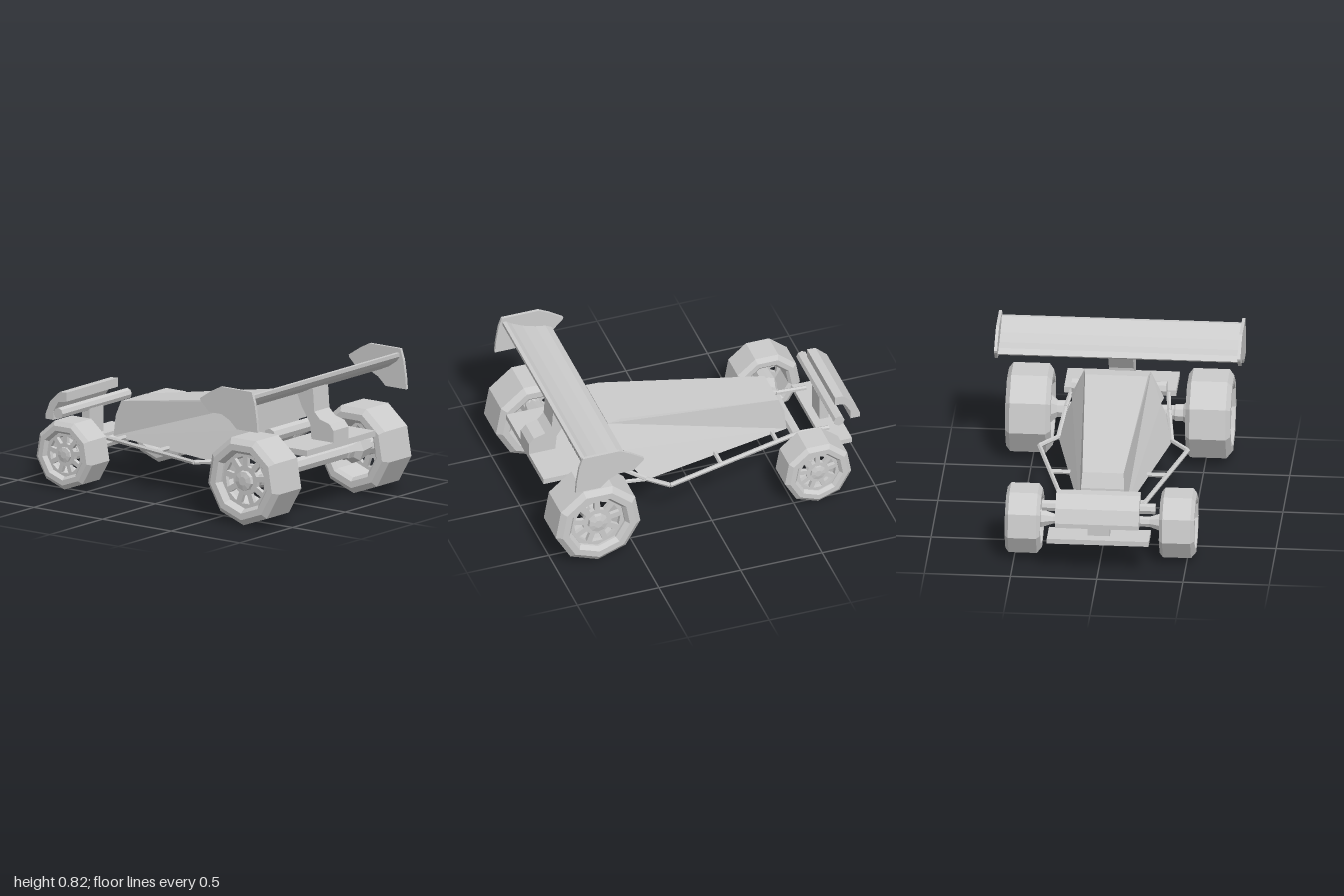
import * as THREE from 'three';

const grey = new THREE.MeshStandardMaterial({ color: 0xcccccc, flatShading: true });

export function createModel() {
  const model = new THREE.Group();
  model.name = 'buggy';

  const add = (name, geometry, parent = model) => {
    const mesh = new THREE.Mesh(geometry, grey);
    mesh.name = name;
    parent.add(mesh);
    return mesh;
  };

  // Side profile of [z, y] points, extruded across x
  const extrudeX = (profile, x0, x1) => {
    const shape = new THREE.Shape(profile.map(([z, y]) => new THREE.Vector2(-z, y)));
    return new THREE.ExtrudeGeometry(shape, { depth: x1 - x0, bevelEnabled: false })
      .rotateY(Math.PI / 2).translate(x0, 0, 0);
  };

  const box = (name, w, h, d, x, y, z) =>
    add(name, new THREE.BoxGeometry(w, h, d).translate(x, y, z));

  // Straight rod between two points
  const rod = (name, a, b, r, sides = 6) => {
    const p = new THREE.Vector3(...a), q = new THREE.Vector3(...b);
    const mesh = add(name, new THREE.CylinderGeometry(r, r, p.distanceTo(q), sides));
    mesh.position.copy(p).lerp(q, 0.5);
    mesh.quaternion.setFromUnitVectors(new THREE.Vector3(0, 1, 0), q.sub(p).normalize());
  };

  // Lathe of [radius, x] points around the x axis, with one corner at the bottom
  const latheX = (profile, sides) =>
    new THREE.LatheGeometry(profile.map(([r, x]) => new THREE.Vector2(r, x)), sides, Math.PI / 2)
      .rotateZ(-Math.PI / 2);

  // Tapered body shell: side profile widened towards floor and tail
  const floorY = 0.255;
  const body = extrudeX([
    [-0.585, floorY], [-0.575, 0.38], [-0.54, 0.465], [0.45, 0.625], [0.53, 0.62],
    [0.53, 0.455], [0.455, 0.455], [0.455, 0.4], [0.345, floorY],
  ], -1, 1);
  const pos = body.attributes.position;
  for (let i = 0; i < pos.count; i++) {
    const y = pos.getY(i), z = pos.getZ(i);
    const t = (z + 0.56) / 1.05;
    const top = 0.465 + 0.16 * t;
    const upper = 0.118 + 0.067 * t, lower = 0.14 + 0.215 * t;
    const k = THREE.MathUtils.clamp((top - y) / (top - floorY), 0, 1);
    pos.setX(i, Math.sign(pos.getX(i)) * THREE.MathUtils.lerp(upper, lower, k));
  }
  body.computeVertexNormals();
  add('bodyShell', body);

  // Wheels: nine-sided tyre, spoked rim and hub
  const ring = (r, step) => Array.from({ length: 9 }, (_, i) => {
    const a = -Math.PI / 2 + i * step;
    return new THREE.Vector2(r * Math.cos(a), r * Math.sin(a));
  });
  const makeWheel = (name, R, h, x, z, side) => {
    const wheel = new THREE.Group();
    wheel.name = name;
    add('tyre', latheX([
      [0.64 * R, -0.85 * h], [0.72 * R, -h], [0.87 * R, -h], [R, -0.8 * h], [R, 0.8 * h],
      [0.87 * R, h], [0.72 * R, h], [0.64 * R, 0.8 * h], [0.64 * R, -0.85 * h],
    ], 9), wheel);
    const rim = new THREE.Shape(ring(0.66 * R, Math.PI * 2 / 9));
    for (let i = 0; i < 9; i++) {
      const a = -Math.PI / 2 + i * Math.PI * 2 / 9;
      const corners = [[0.33, -0.16], [0.33, 0.16], [0.54, 0.23], [0.54, -0.23]];
      rim.holes.push(new THREE.Path(corners.map(([r, d]) =>
        new THREE.Vector2(r * R * Math.cos(a + d), r * R * Math.sin(a + d)))));
    }
    add('rim', new THREE.ExtrudeGeometry(rim, { depth: 0.025, bevelEnabled: false })
      .rotateY(Math.PI / 2).translate(0.5 * h, 0, 0), wheel);
    add('hub', latheX([[0, -0.4 * h], [0.2 * R, -0.4 * h], [0.24 * R, 0.5 * h],
      [0.22 * R, 0.85 * h], [0.1 * R, 0.9 * h], [0, 0.9 * h]], 9), wheel);
    wheel.position.set(side * x, R, z);
    if (side < 0) wheel.rotation.y = Math.PI;
    model.add(wheel);
  };
  for (const side of [1, -1]) {
    makeWheel('rearWheel', 0.263, 0.131, 0.522, 0.742, side);
    makeWheel('frontWheel', 0.206, 0.102, 0.447, -0.64, side);
  }

  // Axles, flared where they meet the wheels
  const axle = (name, profile, y, z) => {
    const half = profile.map(([r, x]) => [r, -x]).reverse();
    add(name, latheX([...half, ...profile], 8)).position.set(0, y, z);
  };
  axle('rearAxle', [[0.045, 0.31], [0.052, 0.32], [0.052, 0.365], [0.085, 0.4], [0.05, 0.55], [0, 0.55]], 0.265, 0.742);
  axle('frontAxle', [[0.032, 0.26], [0.032, 0.28], [0.055, 0.345], [0.05, 0.46], [0, 0.46]], 0.21, -0.64);

  // Tubular side frame
  const path = [[0.2, 0.25, -0.82], [0.2, 0.26, -0.64], [0.43, 0.265, 0.23],
    [0.33, 0.27, 0.345], [0.3, 0.38, 0.52], [0.28, 0.4, 0.72]];
  for (const side of [1, -1]) {
    const flip = ([x, y, z]) => [x * side, y, z];
    for (let i = 1; i < path.length; i++) rod('frameTube', flip(path[i - 1]), flip(path[i]), 0.014);
    rod('lowerRearTube', flip([0.33, 0.265, 0.345]), flip([0.27, 0.265, 0.72]), 0.013);
  }
  rod('frontCrossTube', [-0.24, 0.262, -0.49], [0.24, 0.262, -0.49], 0.014);
  rod('middleCrossTube', [-0.34, 0.264, -0.115], [0.34, 0.264, -0.115], 0.014);

  // Rear deck, engine cylinder and wing strut
  box('rearDeck', 0.65, 0.035, 0.26, 0, 0.402, 0.84);
  rod('engineCylinder', [-0.275, 0.455, 0.66], [0.275, 0.455, 0.66], 0.042, 8);
  add('wingStrut', extrudeX([
    [0.97, 0.41], [0.97, 0.49], [0.94, 0.525], [0.87, 0.545], [0.83, 0.585], [0.82, 0.72],
    [0.7, 0.69], [0.74, 0.6], [0.8, 0.51], [0.81, 0.41],
  ], -0.072, 0.072));

  // Rear wing with end plates
  add('rearWing', extrudeX([
    [0.56, 0.685], [0.6, 0.705], [0.66, 0.715], [0.74, 0.74], [0.81, 0.775], [0.84, 0.797], [0.862, 0.797],
    [0.862, 0.775], [0.84, 0.745], [0.78, 0.705], [0.72, 0.68], [0.65, 0.662], [0.59, 0.665],
  ], -0.7, 0.7));
  const plate = [[0.866, 0.823], [0.64, 0.823], [0.575, 0.79], [0.49, 0.735], [0.495, 0.72], [0.555, 0.662],
    [0.646, 0.662], [0.705, 0.635], [0.759, 0.587], [0.909, 0.587], [0.903, 0.66], [0.887, 0.76]];
  add('leftEndPlate', extrudeX(plate, 0.696, 0.714));
  add('rightEndPlate', extrudeX(plate, -0.714, -0.696));

  // Front bumper bar, post, splitter and curved upper guard
  rod('bumperBar', [-0.328, 0.386, -0.84], [0.328, 0.386, -0.84], 0.033, 8);
  box('bumperPost', 0.13, 0.17, 0.055, 0, 0.285, -0.84);
  box('frontSplitter', 0.59, 0.03, 0.165, 0, 0.2, -0.848);
  add('frontGuard', extrudeX([
    [-0.843, 0.493], [-0.895, 0.49], [-0.965, 0.425], [-0.998, 0.345], [-0.998, 0.318],
    [-0.94, 0.318], [-0.94, 0.37], [-0.905, 0.428], [-0.843, 0.44],
  ], -0.243, 0.243));

  return model;
}
